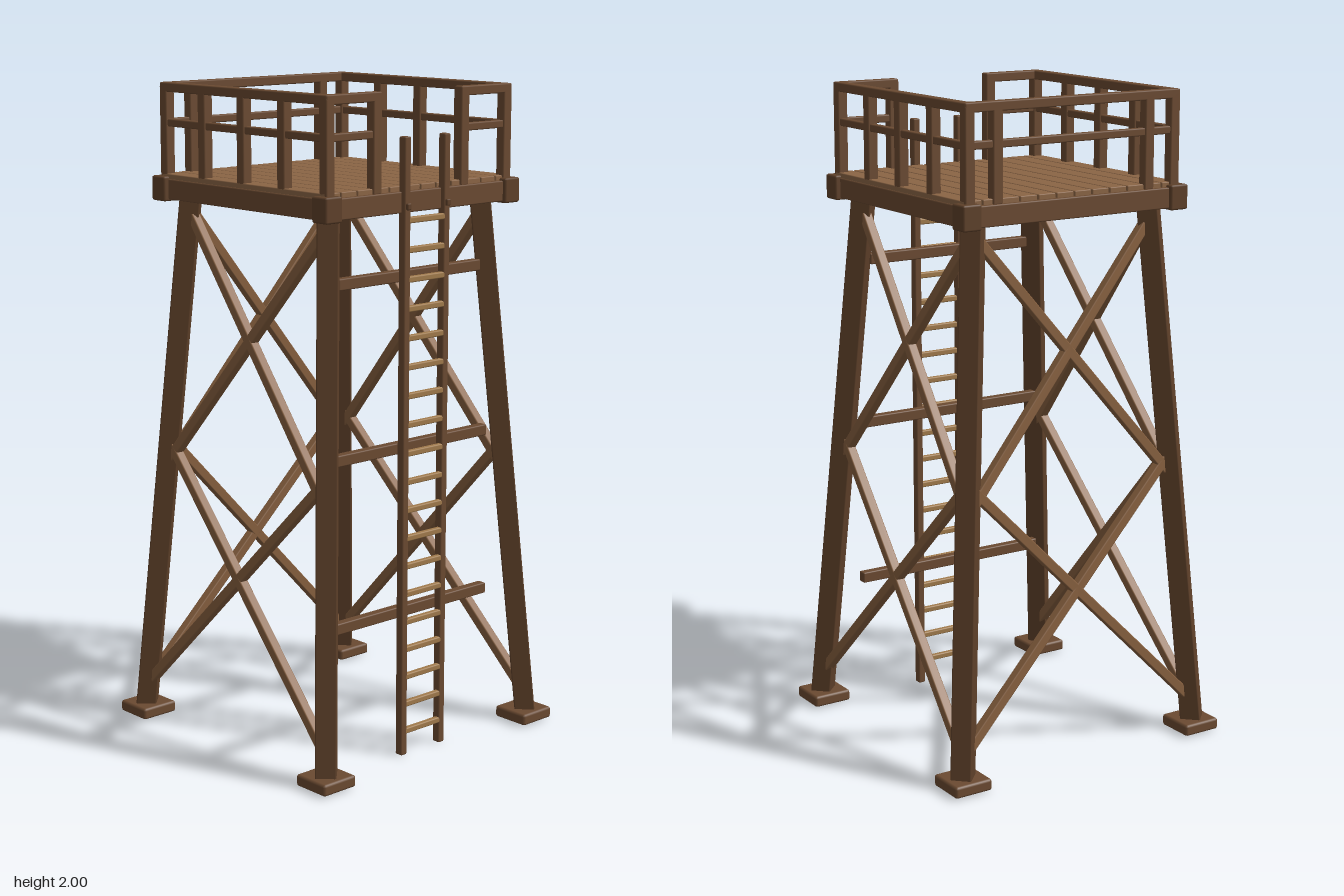
import * as THREE from 'three';
import { RoundedBoxGeometry } from 'three/addons/geometries/RoundedBoxGeometry.js';

const wood = (color) => new THREE.MeshStandardMaterial({ color });

export function createModel() {
  const root = new THREE.Group();
  root.name = 'watchtower';
  const DARK = wood(0x5e4029), MID = wood(0x6b4a31), DECK = wood(0x8b6545);
  const BRACE = wood(0x87603f), RUNG = wood(0xa07a4b);

  const group = (name) => {
    const g = new THREE.Group();
    g.name = name;
    root.add(g);
    return g;
  };

  // Box with lightly chamfered edges
  const block = (parent, name, mat, size, pos, bevel = 0.004) => {
    const m = new THREE.Mesh(new RoundedBoxGeometry(...size, 1, bevel), mat);
    m.name = name;
    m.position.set(...pos);
    parent.add(m);
    return m;
  };

  // Square timber from a to b; one pair of its faces looks towards `facing`
  const timber = (parent, name, mat, a, b, width, facing) => {
    const A = new THREE.Vector3(...a), B = new THREE.Vector3(...b);
    const y = B.clone().sub(A), length = y.length();
    y.normalize();
    const x = new THREE.Vector3().crossVectors(y, new THREE.Vector3(...facing)).normalize();
    const z = new THREE.Vector3().crossVectors(x, y);
    const m = block(parent, name, mat, [width, length, width], [0, 0, 0]);
    m.quaternion.setFromRotationMatrix(new THREE.Matrix4().makeBasis(x, y, z));
    m.position.copy(A.add(B).multiplyScalar(0.5));
  };

  // Distance of the leaning leg's axis from the centre at height y
  const lean = (y) => 0.425 - 0.0714 * (y - 0.04);

  // Legs, feet and platform corner blocks
  const legs = group('legs'), platform = group('platform');
  for (const sx of [-1, 1]) for (const sz of [-1, 1]) {
    const at = (y) => [sx * lean(y), y, sz * lean(y)];
    timber(legs, 'leg', DARK, at(0.025), at(1.69), 0.063, [sx, 0, sz]);
    block(legs, 'foot', MID, [0.125, 0.036, 0.125], [sx * 0.423, 0.021, sz * 0.423], 0.008);
    block(platform, 'cornerBlock', DARK, [0.062, 0.075, 0.062], [sx * 0.363, 1.682, sz * 0.363], 0.006);
  }

  // Crossed braces on the back and both sides, two tiers each
  const braces = group('braces');
  const tiers = [[0.10, 0.90], [0.82, 1.62]];
  for (const [y0, y1] of tiers) for (const s of [-1, 1]) {
    const p = lean(y0), q = lean(y1);
    timber(braces, 'backBrace', BRACE, [s * p, y0, -p], [-s * q, y1, -q], 0.03, [0, 0, 1]);
    for (const side of [-1, 1]) {
      timber(braces, 'sideBrace', BRACE, [side * p, y0, s * p], [side * q, y1, -s * q], 0.03, [1, 0, 0]);
    }
  }

  // Horizontal beams behind the ladder
  for (const [y, half] of [[0.43, 0.333], [0.94, 0.328], [1.457, 0.29]]) {
    block(braces, 'frontBeam', MID, [half * 2, 0.034, 0.03], [0, y, 0.32]);
  }

  // Platform rim and deck planks
  for (const s of [-1, 1]) {
    block(platform, 'rimBeam', MID, [0.75, 0.062, 0.05], [0, 1.681, s * 0.357]);
    block(platform, 'rimBeam', MID, [0.05, 0.062, 0.75], [s * 0.353, 1.681, 0]);
  }
  for (let i = 0; i < 12; i++) {
    block(platform, 'plank', DECK, [0.058, 0.026, 0.735], [(i - 5.5) * 0.0628, 1.714, 0], 0.003);
  }

  // Railing with an opening at the ladder
  const railing = group('railing');
  const W = 0.032, E = 0.358;
  const post = (x, z) => block(railing, 'railPost', MID, [W, 0.28, W], [x, 1.85, z]);
  const levels = [[1.986, 0.028, 0.032], [1.88, 0.023, 0.022]];
  for (const s of [-1, 1]) {
    for (const z of [-E, -0.178, 0, 0.178, E]) post(s * E, z);
    post(s * 0.265, -E);
    post(s * 0.177, E);
    for (const [y, h, d] of levels) {
      block(railing, 'sideRail', MID, [d, h, 0.746], [s * E, y, 0]);
      block(railing, 'frontRail', MID, [0.212, h, d], [s * 0.267, y, E]);
    }
  }
  for (const [y, h, d] of levels) block(railing, 'backRail', MID, [0.746, h, d], [0, y, -E]);

  // Ladder
  const ladder = group('ladder');
  for (const s of [-1, 1]) {
    block(ladder, 'ladderRail', MID, [0.023, 1.87, 0.027], [s * 0.08, 0.935, 0.384]);
    block(ladder, 'ladderBracket', DARK, [0.016, 0.02, 0.03], [s * 0.08, 1.67, 0.391]);
  }
  for (let i = 0; i < 19; i++) {
    block(ladder, 'rung', RUNG, [0.168, 0.018, 0.018], [0, 0.074 + i * 0.0864, 0.388]);
  }

  return root;
}
